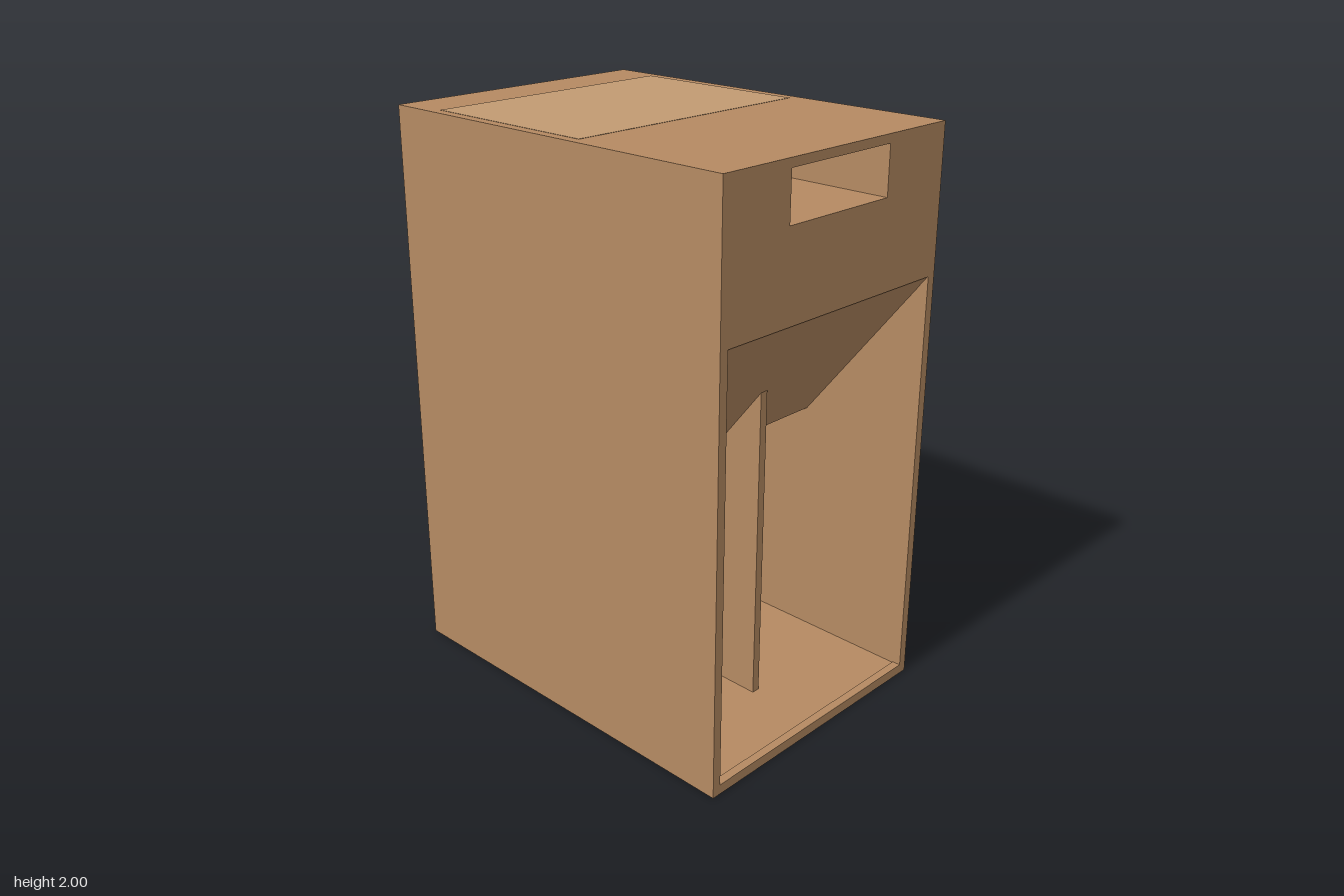
import * as THREE from 'three';

const W = 1.03, H = 2, D = 1.44, T = 0.03;
const IN = W - 2 * T; // inner width

export function createModel() {
  const model = new THREE.Group();
  const wood = new THREE.MeshStandardMaterial({ color: 0xb58a62 });
  const lidWood = new THREE.MeshStandardMaterial({ color: 0xc29b72 });
  const black = new THREE.MeshStandardMaterial({ color: 0x2a2a2a, side: THREE.DoubleSide });

  const add = (name, geometry, material = wood) => {
    const mesh = new THREE.Mesh(geometry, material);
    mesh.name = name;
    model.add(mesh);
    return mesh;
  };
  const box = (name, w, h, d, x, y, z, material) =>
    add(name, new THREE.BoxGeometry(w, h, d).translate(x, y, z), material);
  // Side profile given as [z, y], extruded across x
  const prism = (name, points, width) => {
    const shape = new THREE.Shape(points.map(([z, y]) => new THREE.Vector2(z, y)));
    const geometry = new THREE.ExtrudeGeometry(shape, { depth: width, bevelEnabled: false });
    return add(name, geometry.translate(0, 0, -width / 2).rotateY(-Math.PI / 2));
  };
  const rect = (path, x0, y0, x1, y1) => {
    path.moveTo(x0, y0);
    path.lineTo(x1, y0);
    path.lineTo(x1, y1);
    path.lineTo(x0, y1);
    path.closePath();
    return path;
  };

  // Cabinet shell
  for (const s of [-1, 1]) {
    box(s > 0 ? 'leftWall' : 'rightWall', T, H, D - T, s * (W - T) / 2, H / 2, -T / 2);
  }
  box('bottomPanel', IN, T, D - T, 0, T / 2, -T / 2);
  box('topPanel', IN, T, D - T, 0, H - T / 2, -T / 2);
  box('backPanel', IN, H - 2 * T, T, 0, H / 2, -D / 2 + T / 2);

  // Front board with horn mouth and port slot
  const front = rect(new THREE.Shape(), -W / 2, 0, W / 2, H);
  front.holes.push(rect(new THREE.Path(), -0.483, 0.035, 0.483, 1.5));
  front.holes.push(rect(new THREE.Path(), -0.23, 1.805, 0.23, 1.97));
  add('frontBoard', new THREE.ExtrudeGeometry(front, { depth: T, bevelEnabled: false })
    .translate(0, 0, D / 2 - T));

  // Access hatch on top and its backing board
  box('accessHatch', 0.96, 0.004, 0.66, 0, H - 0.001, -0.21, lidWood);
  box('hatchBacking', IN, T, 0.66, 0, 1.955, -0.21);

  // Port duct behind the slot
  box('portFloor', 0.52, T, 0.4, 0, 1.79, 0.49);
  for (const s of [-1, 1]) box('portSide', T, 0.165, 0.4, s * 0.245, 1.8875, 0.49);

  // Folded horn panels
  prism('upperHornPanel', [[0.718, 1.5], [0.245, 0.905], [0.245, 0.955], [0.69, 1.515]], IN);
  prism('lowerHornPanel', [[0.245, 0.905], [-0.3, 0.77], [-0.3, 0.8], [0.245, 0.955]], IN);
  prism('driverBaffle', [[-0.3, 0.77], [-0.27, 0.78], [-0.57, 1.97], [-0.6, 1.97]], IN);
  prism('rearReflector', [[-0.69, T], [-0.2, T], [-0.69, 0.515]], IN);
  prism('centreBrace', [[0.45, T], [0.45, 1.17], [0.245, 0.91], [-0.3, 0.775],
    [-0.69, 0.775], [-0.69, 0.5], [-0.2, T]], T);

  // Loudspeaker, magnet side facing the port
  const profile = [[0.42, 0], [0.42, 0.02], [0.37, 0.02], [0.32, 0.08], [0.2, 0.16],
    [0.2, 0.26], [0, 0.26]].map(([r, y]) => new THREE.Vector2(r, y));
  const driver = add('driver', new THREE.LatheGeometry(profile, 48), black);
  driver.material.flatShading = true;
  driver.position.set(0, 1.515, -0.45);
  driver.rotation.x = Math.atan2(1.2, 0.3);

  return model;
}
